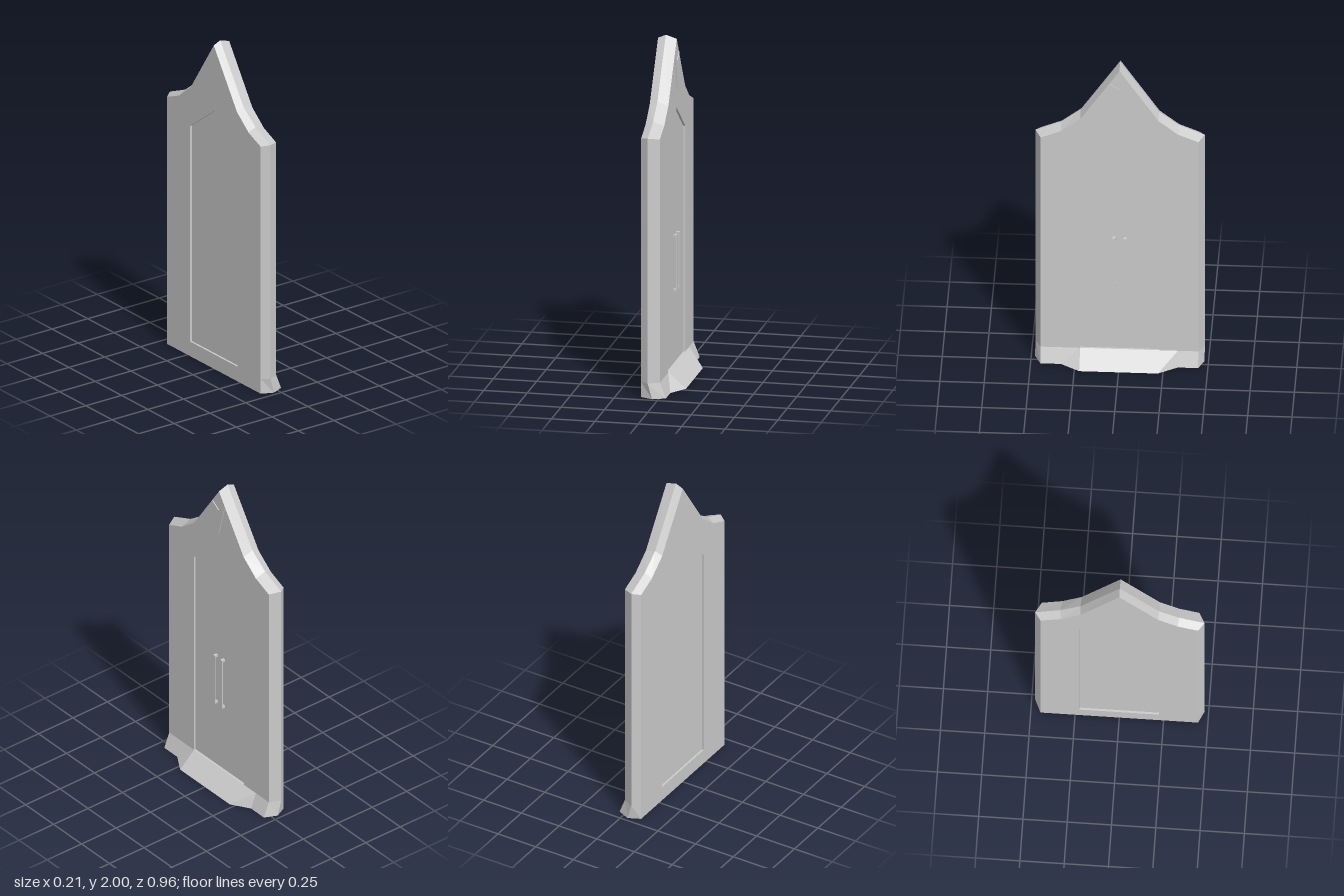
import * as THREE from 'three';

const BACK = -0.105, MID = -0.06, FRONT = 0.003, SILL = 0.09, DEPTH = 0.012;

export function createModel() {
  const group = new THREE.Group();
  const mat = new THREE.MeshStandardMaterial({ color: 0xcccccc, flatShading: true });
  const add = (name, geo) => {
    const mesh = new THREE.Mesh(geo, mat);
    mesh.name = name;
    group.add(mesh);
    return mesh;
  };

  // Strip of quads between two rows of [x, y, z] points
  const loft = (a, b) => {
    const pos = [];
    for (let i = 0; i < a.length - 1; i++) {
      pos.push(...a[i], ...b[i], ...a[i + 1], ...b[i], ...b[i + 1], ...a[i + 1]);
    }
    const geo = new THREE.BufferGeometry();
    geo.setAttribute('position', new THREE.Float32BufferAttribute(pos, 3));
    geo.computeVertexNormals();
    return geo;
  };
  // Mirror a half outline of [z, y], whose last point lies on the centre line
  const mirror = (half) => [...half, ...half.slice(0, -1).reverse().map(([z, y]) => [-z, y])];
  const at = (x, outline) => outline.map(([z, y]) => [x, y, z]);
  const toShape = (outline) => new THREE.Shape(outline.map(([z, y]) => new THREE.Vector2(z, y)));
  const face = (shape, x, side) =>
    new THREE.ShapeGeometry(shape).rotateY(side * Math.PI / 2).translate(x, 0, 0);

  // Outlines of the flat faces, the proud middle edge and the door
  const rim = mirror([[0.445, SILL], [0.445, 1.512], [0.33, 1.56], [0.22, 1.648], [0, 1.98]]);
  const edge = mirror([[0.478, SILL], [0.478, 1.522], [0.335, 1.583], [0.222, 1.668], [0, 2]]);
  const door = mirror([[0.224, SILL], [0.224, 1.41], [0, 1.577]]);

  // Bevelled sides, flaring forward at the foot
  const withFoot = (x, footX, outline) => {
    const z = outline[0][0];
    return [[footX, 0, z], ...at(x, outline), [footX, 0, -z]];
  };
  const backRow = withFoot(BACK, BACK, rim);
  const midRow = withFoot(MID, -0.035, edge);
  const frontRow = withFoot(FRONT, 0.038, rim);
  add('backBevel', loft(backRow, midRow));
  add('frontBevel', loft(midRow, frontRow));

  // Wall faces around the door recesses
  add('frontWall', face(toShape([...rim, ...door.slice().reverse()]), FRONT, 1));
  const backShape = toShape([[0.445, 0], ...rim, [-0.445, 0]]);
  backShape.holes.push(new THREE.Path(door.map(([z, y]) => new THREE.Vector2(z, y))));
  add('backWall', face(backShape, BACK, -1));

  // Recessed doors and their reveals
  const loop = [...door, door[0]];
  for (const [name, x, side] of [['front', FRONT, 1], ['back', BACK, -1]]) {
    const inner = x - side * DEPTH;
    add(name + 'Door', face(toShape(door), inner, side));
    const outerRow = at(x, loop), innerRow = at(inner, loop);
    add(name + 'Reveal', side > 0 ? loft(outerRow, innerRow) : loft(innerRow, outerRow));
  }

  // Sloping threshold and underside
  const zs = [0.445, 0.33, 0.222, -0.222, -0.33, -0.445];
  const toe = [0.038, 0.038, 0.105, 0.105, 0.038, 0.038];
  const toeRow = zs.map((z, i) => [toe[i], 0, z]);
  add('threshold', loft(zs.map((z) => [FRONT, SILL, z]), toeRow));
  const ends = [[-0.035, 0, 0.478], [-0.035, 0, -0.478]];
  add('underside', loft(
    [ends[0], ...toeRow, ends[1]],
    [ends[0], ...zs.map((z) => [BACK, 0, z]), ends[1]]
  ));

  // Notched pendant under the peak
  const pendant = toShape([[0, 1.685], [0.054, 1.892], [0, 1.853], [-0.054, 1.892]]);
  add('pendant', new THREE.ExtrudeGeometry(pendant, { depth: 0.005, bevelEnabled: false })
    .rotateY(Math.PI / 2).translate(FRONT, 0, 0));

  // Pair of pull handles with end posts
  for (const z of [0.032, -0.032]) {
    const bar = add('handleBar', new THREE.BoxGeometry(0.007, 0.33, 0.016));
    bar.position.set(0.0105, 0.68, z);
    for (const y of [0.522, 0.838]) {
      const post = add('handlePost', new THREE.BoxGeometry(0.018, 0.014, 0.016));
      post.position.set(-0.001, y, z);
    }
  }
  return group;
}
